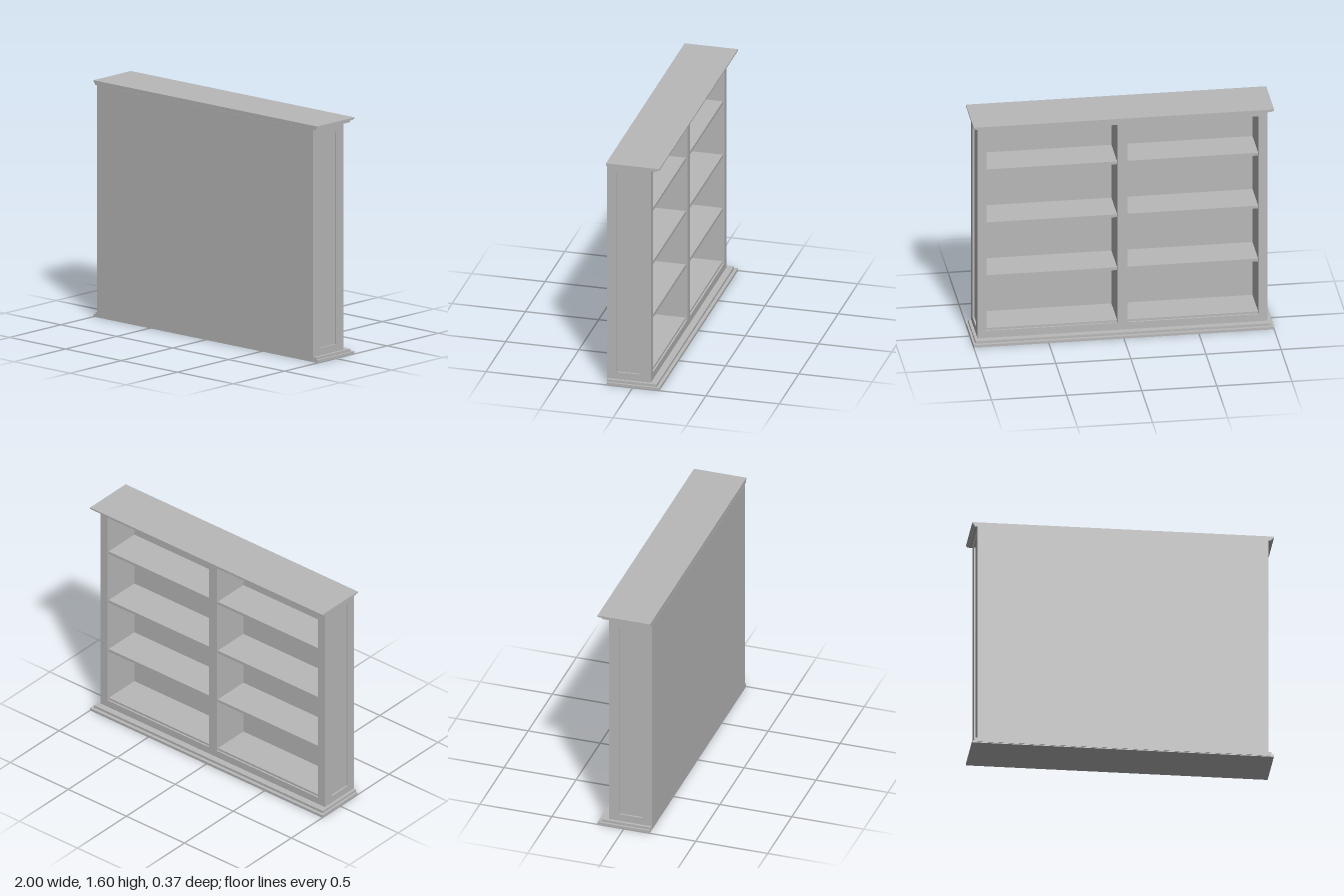
import * as THREE from 'three';

export function createModel() {
  const model = new THREE.Group();
  model.name = 'bookcase';
  const paint = new THREE.MeshStandardMaterial({ color: 0xb8b8b8 });
  paint.name = 'grey paint';

  const add = (name, geometry) => {
    const mesh = new THREE.Mesh(geometry, paint);
    mesh.name = name;
    model.add(mesh);
    return mesh;
  };
  // Box given by its limits on each axis
  const box = (name, x0, x1, y0, y1, z0, z1) => {
    const g = new THREE.BoxGeometry(x1 - x0, y1 - y0, z1 - z0);
    g.translate((x0 + x1) / 2, (y0 + y1) / 2, (z0 + z1) / 2);
    return add(name, g);
  };
  const rect = (T, x0, x1, y0, y1) =>
    new T([[x0, y0], [x1, y0], [x1, y1], [x0, y1]].map(p => new THREE.Vector2(...p)));
  // Flat frame with rectangular openings, extruded along +z
  const frame = (outer, holes, depth) => {
    const shape = rect(THREE.Shape, ...outer);
    shape.holes = holes.map(h => rect(THREE.Path, ...h));
    return new THREE.ExtrudeGeometry(shape, { depth, bevelEnabled: false });
  };

  const W = 0.965, IN = 0.905, MID = 0.034;   // half widths: body, opening, centre post
  const Y0 = 0.035, Y1 = 1.57;                // body bottom and top
  const OPEN0 = 0.085, OPEN1 = 1.525;         // opening bottom and top
  const FACE = -0.115, BACK = 0.183, INNER = 0.158;

  // Carcass
  box('backPanel', -W, W, 0.006, Y1, INNER, BACK);
  box('centreDivider', -MID, MID, Y0, Y1, FACE + 0.02, INNER);
  box('topBoard', -IN, IN, OPEN1, Y1, FACE + 0.02, INNER);
  box('bottomBoard', -IN, IN, Y0, 0.1, FACE + 0.012, INNER);

  // Face frame around the two bays
  add('faceFrame', frame([-W, W, Y0, Y1],
    [[-IN, -MID, OPEN0, OPEN1], [MID, IN, OPEN0, OPEN1]], 0.02)).position.z = FACE;

  // Sides with a recessed panel
  const recess = 0.012;
  for (const s of [-1, 1]) {
    const xs = [s * IN, s * (W - recess)].sort((a, b) => a - b);
    box('sidePanel', xs[0], xs[1], Y0, Y1, FACE + 0.02, INNER);
    const g = frame([-BACK, -FACE, Y0, Y1], [[-0.118, 0.042, OPEN0, OPEN1 - 0.003]], recess);
    g.rotateY(Math.PI / 2);
    add('sideFrame', g).position.x = s > 0 ? W - recess : -W;
  }

  // Three shelves in each bay
  for (const s of [-1, 1]) {
    for (let i = 1; i <= 3; i++) {
      const top = 0.1 + i * 0.385;
      const xs = [s * MID, s * IN].sort((a, b) => a - b);
      box('shelf', xs[0], xs[1], top - 0.02, top, FACE + 0.01, INNER);
    }
  }

  // Stepped cornice and plinth: half width, y limits, reach in -z
  const steps = [
    ['cornice', 0.985, 1.57, 1.583, -0.157],
    ['cornice', 0.993, 1.583, 1.59, -0.176],
    ['cornice', 1, 1.59, 1.6, -0.183],
    ['plinth', 1, 0, 0.018, -0.183],
    ['plinth', 0.985, 0.018, 0.035, -0.16],
  ];
  for (const [name, w, y0, y1, z] of steps) {
    box(name, -w, w, y0, y1, z, name === 'cornice' ? 0.182 : 0.179);
  }
  return model;
}
